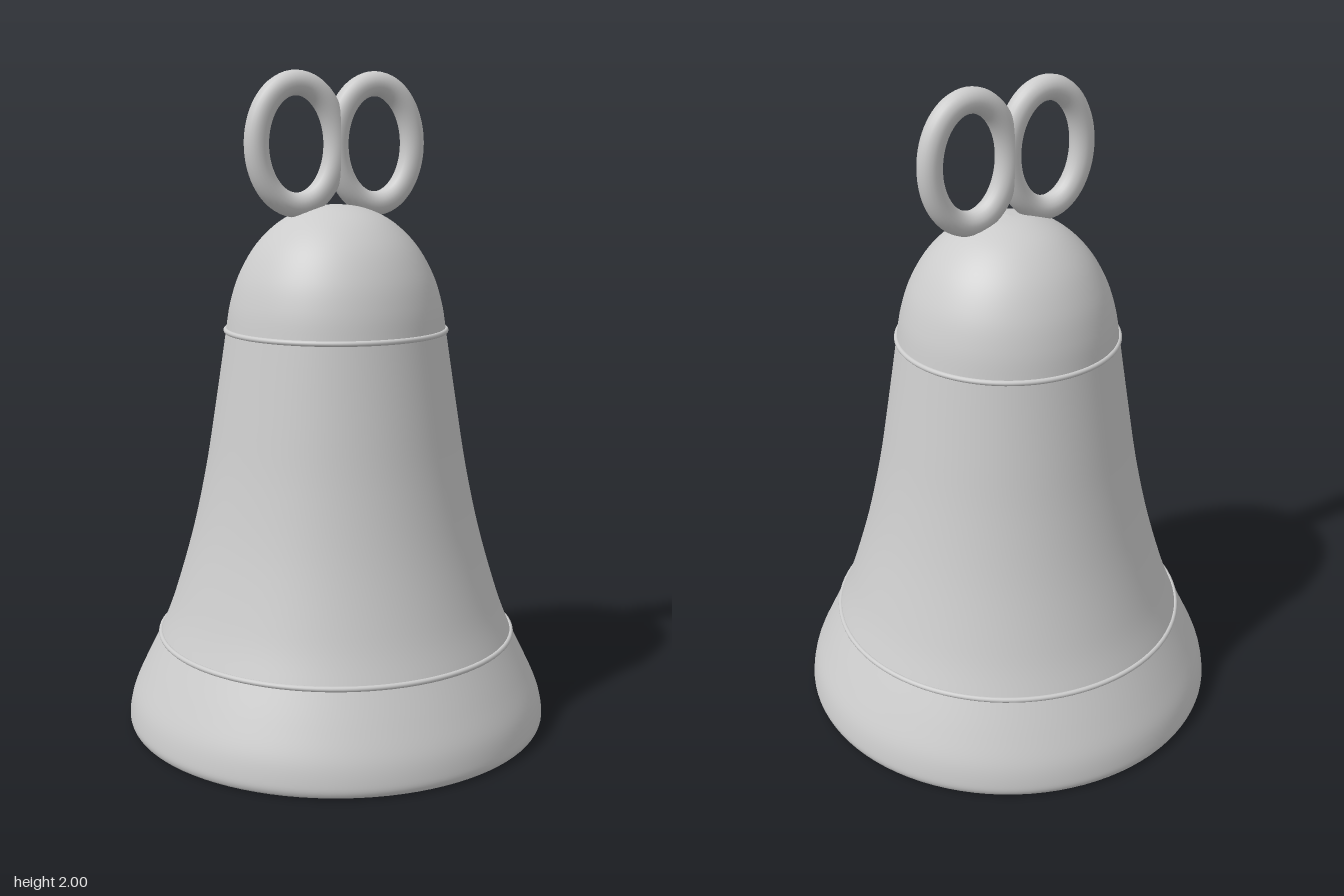
import * as THREE from 'three';

const material = new THREE.MeshStandardMaterial({ color: 0xcccccc, side: THREE.DoubleSide });

// Smooth curve through [radius, height] points
const curve = (points, n) =>
  new THREE.SplineCurve(points.map(([r, y]) => new THREE.Vector2(r, y))).getPoints(n);

function add(group, name, geometry) {
  const mesh = new THREE.Mesh(geometry, material);
  mesh.name = name;
  group.add(mesh);
  return mesh;
}

export function createModel() {
  const bell = new THREE.Group();
  bell.name = 'bell';

  // Thin open shell, in three sections from the rim to the crown
  const sections = {
    flaredLip: [[0.637, 0], [0.648, 0.008], [0.652, 0.035], [0.638, 0.1], [0.6, 0.185], [0.55, 0.285]],
    waist: [[0.55, 0.285], [0.506, 0.4], [0.447, 0.6], [0.403, 0.8], [0.37, 1.0], [0.335, 1.23]],
    dome: [[0.335, 1.23], [0.322, 1.31], [0.293, 1.4], [0.24, 1.49], [0.165, 1.56], [0.08, 1.598], [0, 1.608]],
  };
  for (const [name, points] of Object.entries(sections))
    add(bell, name, new THREE.LatheGeometry(curve(points, 28), 96));

  // Raised bands where the sections meet
  for (const [name, radius, y] of [['lowerBand', 0.55, 0.285], ['upperBand', 0.335, 1.23]]) {
    const band = add(bell, name, new THREE.TorusGeometry(radius, 0.008, 12, 96));
    band.rotation.x = Math.PI / 2;
    band.position.y = y;
  }

  // Pair of upright oval loops with a round section
  class Oval extends THREE.Curve {
    getPoint(t, target = new THREE.Vector3()) {
      const a = t * Math.PI * 2;
      return target.set(0.127 * Math.cos(a), 0.178 * Math.sin(a), 0);
    }
  }
  const loopGeometry = new THREE.TubeGeometry(new Oval(), 72, 0.037, 20, true);
  for (const side of [1, -1]) {
    const loop = add(bell, side > 0 ? 'leftLoop' : 'rightLoop', loopGeometry);
    loop.position.set(side * 0.128, 1.785, 0);
  }

  return bell;
}
